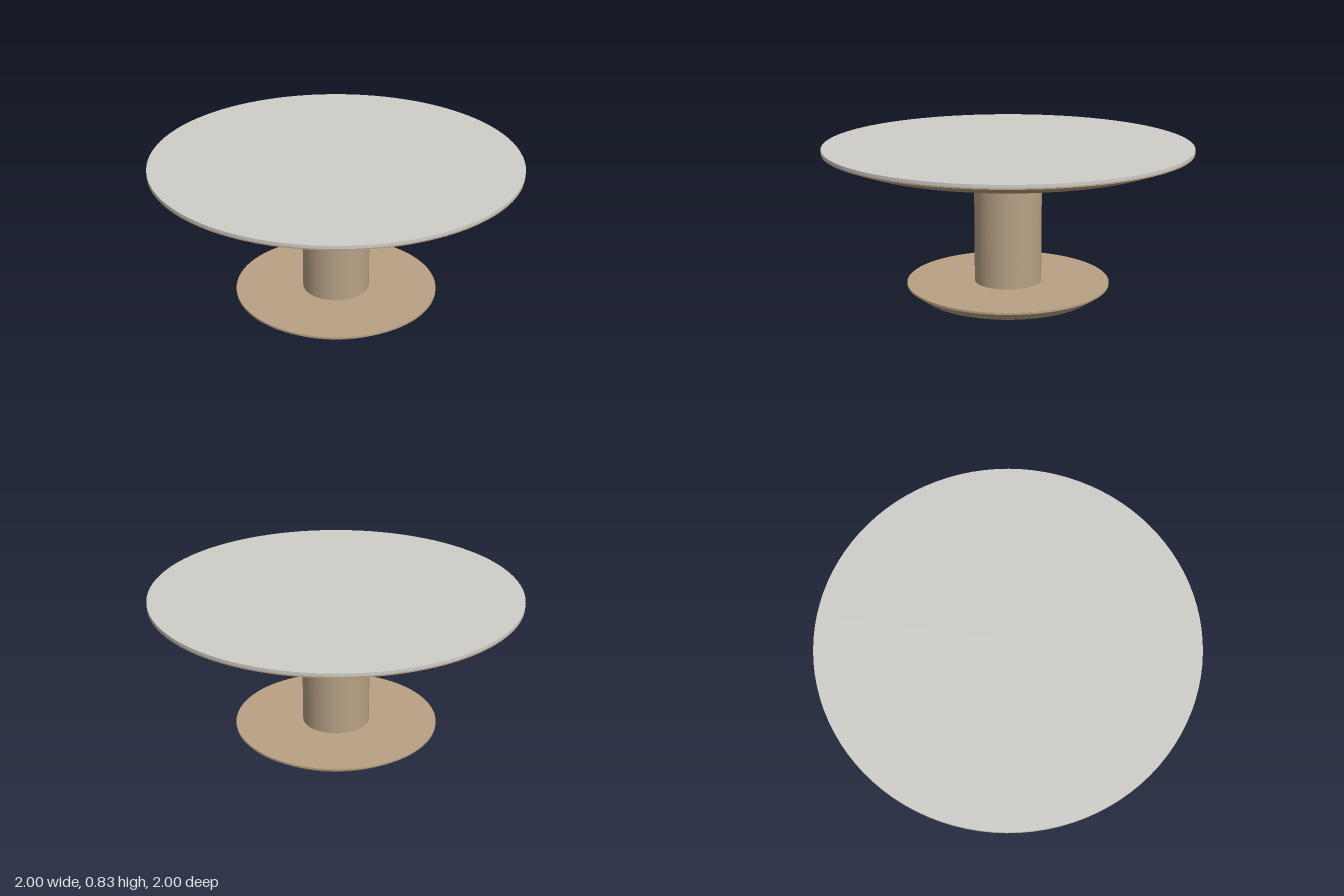
import * as THREE from 'three';

export function createModel() {
  const model = new THREE.Group();
  model.name = 'roundPedestalTable';

  const wood = new THREE.MeshStandardMaterial({ color: 0xb8a184 });
  wood.name = 'tan wood';
  const stone = new THREE.MeshStandardMaterial({ color: 0xd0cec9 });
  stone.name = 'pale grey top';

  // Round section between two heights, with its own radius at each end
  function disc(name, parent, material, bottomRadius, topRadius, bottomY, topY, open = false) {
    const geometry = new THREE.CylinderGeometry(topRadius, bottomRadius, topY - bottomY, 96, 1, open);
    const mesh = new THREE.Mesh(geometry, material);
    mesh.name = name;
    mesh.position.y = (bottomY + topY) / 2;
    parent.add(mesh);
  }

  function part(name) {
    const group = new THREE.Group();
    group.name = name;
    model.add(group);
    return group;
  }

  // Foot: bevelled plate with a thin upright rim
  const base = part('base');
  disc('baseBevel', base, wood, 0.485, 0.56, 0, 0.053);
  disc('baseRim', base, wood, 0.56, 0.56, 0.053, 0.064);

  // Column and the collar under the top
  disc('column', model, wood, 0.185, 0.185, 0.064, 0.722, true);
  disc('collar', model, wood, 0.5, 0.5, 0.722, 0.764);

  // Table top: bevelled wooden underside, thin rim and grey surface
  const top = part('tableTop');
  disc('topBevel', top, wood, 0.88, 1, 0.764, 0.809);
  disc('topRim', top, wood, 1, 1, 0.809, 0.816);
  disc('topSurface', top, stone, 1, 1, 0.816, 0.832);

  return model;
}
